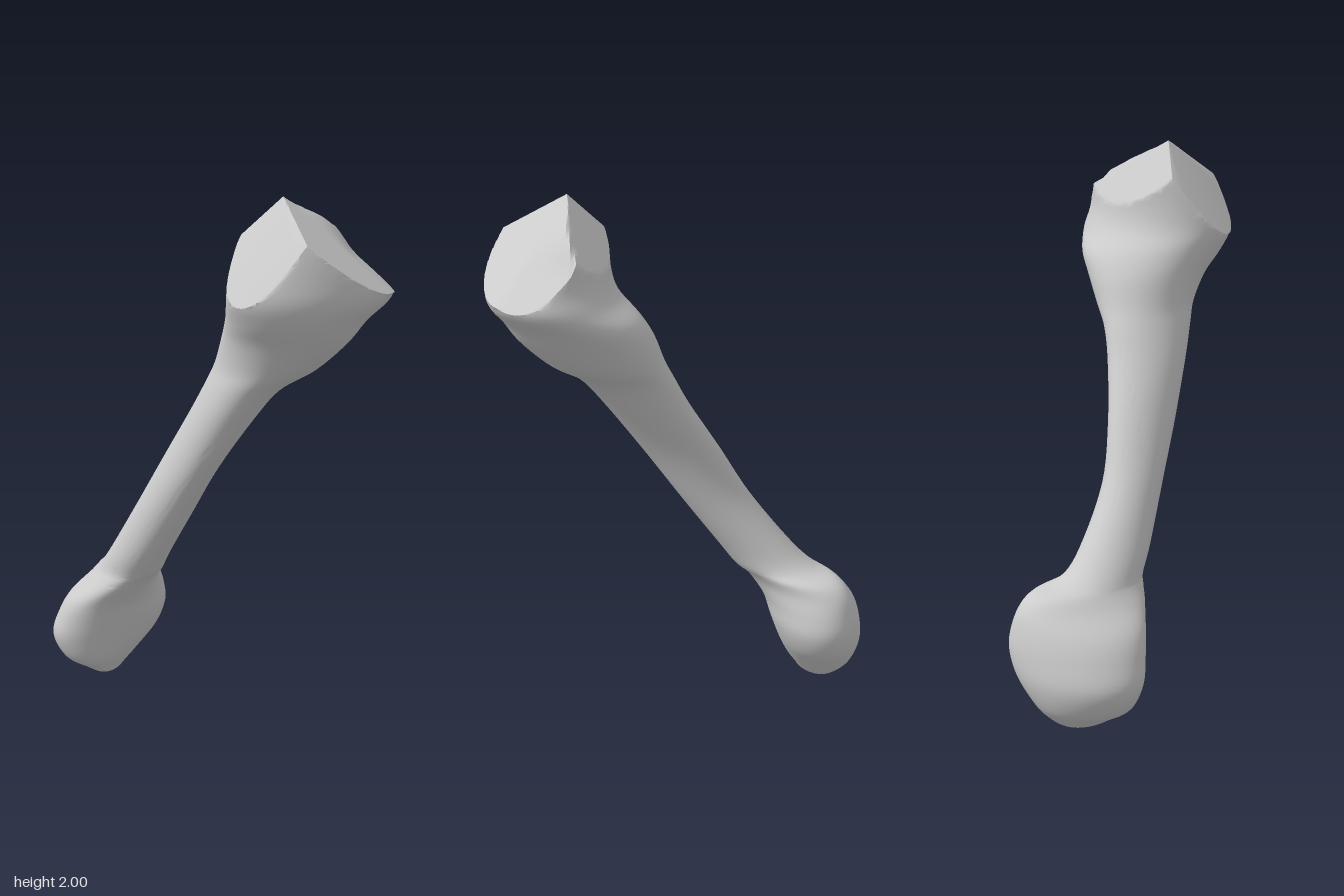
import * as THREE from 'three';
import { toCreasedNormals } from 'three/addons/utils/BufferGeometryUtils.js';

const SIDES = 72;
const STEPS = 5;
const CAP_RINGS = 20;
const PEAK = new THREE.Vector3(0.26, 2, 0.31);

// Level outlines from foot to head: height, x min, x max, z min, z max, skew
const SECTIONS = [
  [0, -0.44, -0.44, -0.35, -0.35, -0.2],
  [0.015, -0.48, -0.39, -0.41, -0.275, -0.2],
  [0.05, -0.535, -0.355, -0.46, -0.23, -0.25],
  [0.1, -0.605, -0.31, -0.505, -0.18, -0.3],
  [0.19, -0.645, -0.235, -0.55, -0.15, -0.35],
  [0.28, -0.62, -0.2, -0.565, -0.13, -0.35],
  [0.36, -0.575, -0.205, -0.555, -0.11, -0.3],
  [0.43, -0.5, -0.215, -0.53, -0.08, -0.15],
  [0.475, -0.46, -0.205, -0.48, -0.065, 0],
  [0.51, -0.435, -0.19, -0.37, -0.05, 0.15],
  [0.6, -0.385, -0.155, -0.28, 0, 0.2],
  [0.8, -0.28, -0.06, -0.155, 0.1, 0.3],
  [1.0, -0.175, 0.04, -0.09, 0.2, 0.33],
  [1.2, -0.07, 0.17, -0.035, 0.29, 0.2],
  [1.32, -0.01, 0.265, -0.015, 0.345, 0.18],
  [1.4, 0.025, 0.39, -0.01, 0.395, 0.18],
  [1.5, 0.05, 0.495, -0.01, 0.465, 0.1],
  [1.58, 0.065, 0.56, 0, 0.525, -0.08],
  [1.66, 0.07, 0.64, 0.05, 0.56, -0.25],
  [1.75, 0.075, 0.645, 0.085, 0.56, -0.27],
  [1.88, 0.08, 0.645, 0.09, 0.545, -0.27],
];

// Sloping joint faces and the rounded front of the head, all meeting at the peak
function headCeiling(x, z) {
  const dx = x - PEAK.x, dz = z - PEAK.z;
  const rim = 0.35 * Math.max(0, Math.sin(13 * dx)) * Math.max(0, -dz);
  const joint = -0.85 * dx - 0.3 * Math.max(0, dz) + rim;
  const back = 0.5 * dx + 1.3 * dz;
  const front = 1.2 * dx - 0.85 * dz - 0.5 * dz * dz;
  return PEAK.y + Math.min(0, joint, back, front);
}

// Smooth blend of the sections between number i and the next
function blend(i, t) {
  const [a, b, c, d] = [i - 1, i, i + 1, i + 2].map(
    (n) => SECTIONS[THREE.MathUtils.clamp(n, 0, SECTIONS.length - 1)]);
  return b.map((p, k) => {
    const m0 = (c[k] - a[k]) / 2, m1 = (d[k] - p) / 2;
    return p + m0 * t + (3 * (c[k] - p) - 2 * m0 - m1) * t * t + (2 * (p - c[k]) + m0 + m1) * t ** 3;
  });
}

// Skewed ellipse fitted to a section's limits
function ring([y, x0, x1, z0, z1, skew]) {
  return Array.from({ length: SIDES }, (_, j) => {
    const t = (j / SIDES) * Math.PI * 2;
    return new THREE.Vector3(
      (x0 + x1) / 2 + ((x1 - x0) / 2) * Math.cos(t),
      y,
      (z0 + z1) / 2 + ((z1 - z0) / 2) * Math.sin(t + skew),
    );
  });
}

function boneGeometry() {
  const rings = [];
  for (let i = 0; i < SECTIONS.length - 1; i++) {
    for (let s = 0; s < STEPS; s++) rings.push(ring(blend(i, s / STEPS)));
  }
  // Close the head with rings shrinking towards the peak
  const rim = ring(SECTIONS[SECTIONS.length - 1]);
  const target = PEAK.clone().setY(2.2);
  for (let i = 0; i <= CAP_RINGS; i++) {
    rings.push(rim.map((p) => p.clone().lerp(target, i / CAP_RINGS)));
  }
  // Cut the joint faces
  for (const p of rings.flat()) if (p.y > 1.4) p.y = Math.min(p.y, headCeiling(p.x, p.z));

  const positions = [];
  const triangle = (a, b, c) => {
    const area = b.clone().sub(a).cross(c.clone().sub(a)).length();
    if (area > 1e-8) for (const p of [a, b, c]) positions.push(p.x, p.y, p.z);
  };
  for (let i = 0; i < rings.length - 1; i++) {
    for (let j = 0; j < SIDES; j++) {
      const k = (j + 1) % SIDES;
      triangle(rings[i][j], rings[i + 1][j], rings[i][k]);
      triangle(rings[i][k], rings[i + 1][j], rings[i + 1][k]);
    }
  }
  const geometry = new THREE.BufferGeometry();
  geometry.setAttribute('position', new THREE.Float32BufferAttribute(positions, 3));
  return toCreasedNormals(geometry, 0.85);
}

export function createModel() {
  const group = new THREE.Group();
  group.name = 'limbBone';
  const bone = new THREE.Mesh(boneGeometry(), new THREE.MeshStandardMaterial({ color: 0xcccccc }));
  bone.name = 'bone';
  group.add(bone);
  return group;
}
